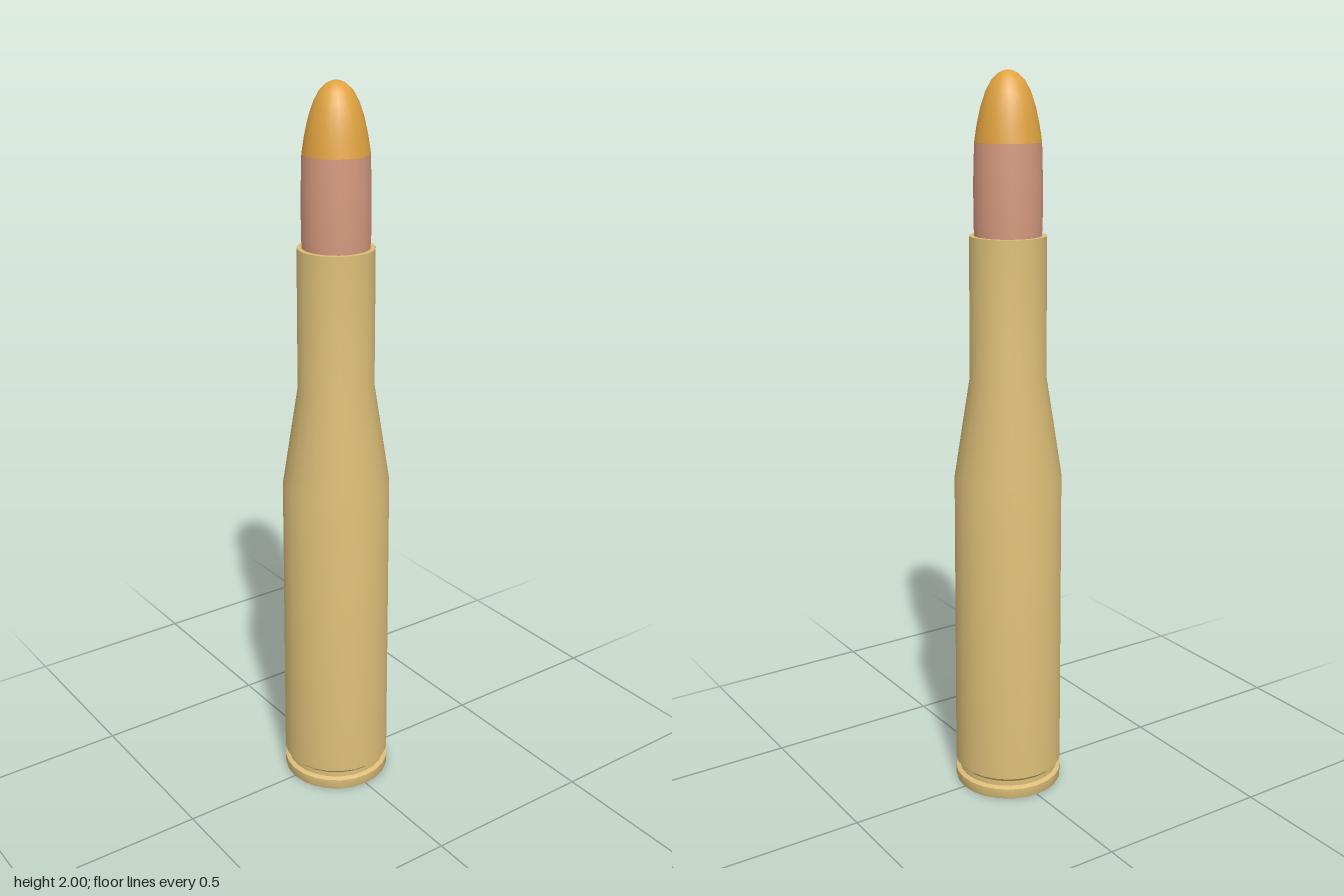
import * as THREE from 'three';
import { toCreasedNormals } from 'three/addons/utils/BufferGeometryUtils.js';

const SIDES = 24;

// Revolves a profile of [radius, height] pairs, listed from bottom to top
function turned(name, profile, material) {
  const points = profile.map(([r, y]) => new THREE.Vector2(r, y));
  const geometry = toCreasedNormals(new THREE.LatheGeometry(points, SIDES), 0.6);
  const mesh = new THREE.Mesh(geometry, material);
  mesh.name = name;
  return mesh;
}

export function createModel() {
  const brass = new THREE.MeshStandardMaterial({ name: 'brass', color: 0xdcbe78 });
  const copper = new THREE.MeshStandardMaterial({ name: 'copper', color: 0xd6997f });
  const amber = new THREE.MeshStandardMaterial({ name: 'amber', color: 0xe0a340 });

  const group = new THREE.Group();
  group.name = 'cartridge';

  // Base rim and extractor groove
  group.add(turned('baseRim', [
    [0, 0], [0.15, 0], [0.152, 0.005], [0.152, 0.03], [0.14, 0.035], [0.14, 0.05],
  ], brass));

  // Tapered body, shoulder, neck and flat mouth
  group.add(turned('case', [
    [0.14, 0.05], [0.152, 0.062], [0.148, 0.92], [0.104, 1.2], [0.103, 1.58], [0.09, 1.58], [0.088, 1.56],
  ], brass));

  // Bullet shank seated in the neck
  group.add(turned('bulletShank', [
    [0, 1.55], [0.088, 1.55], [0.091, 1.61], [0.091, 1.72], [0.088, 1.82],
  ], copper));

  // Rounded coloured tip
  group.add(turned('bulletTip', [
    [0.088, 1.82], [0.081, 1.865], [0.071, 1.91], [0.058, 1.948],
    [0.043, 1.975], [0.024, 1.993], [0.01, 1.999], [0, 2],
  ], amber));

  return group;
}
